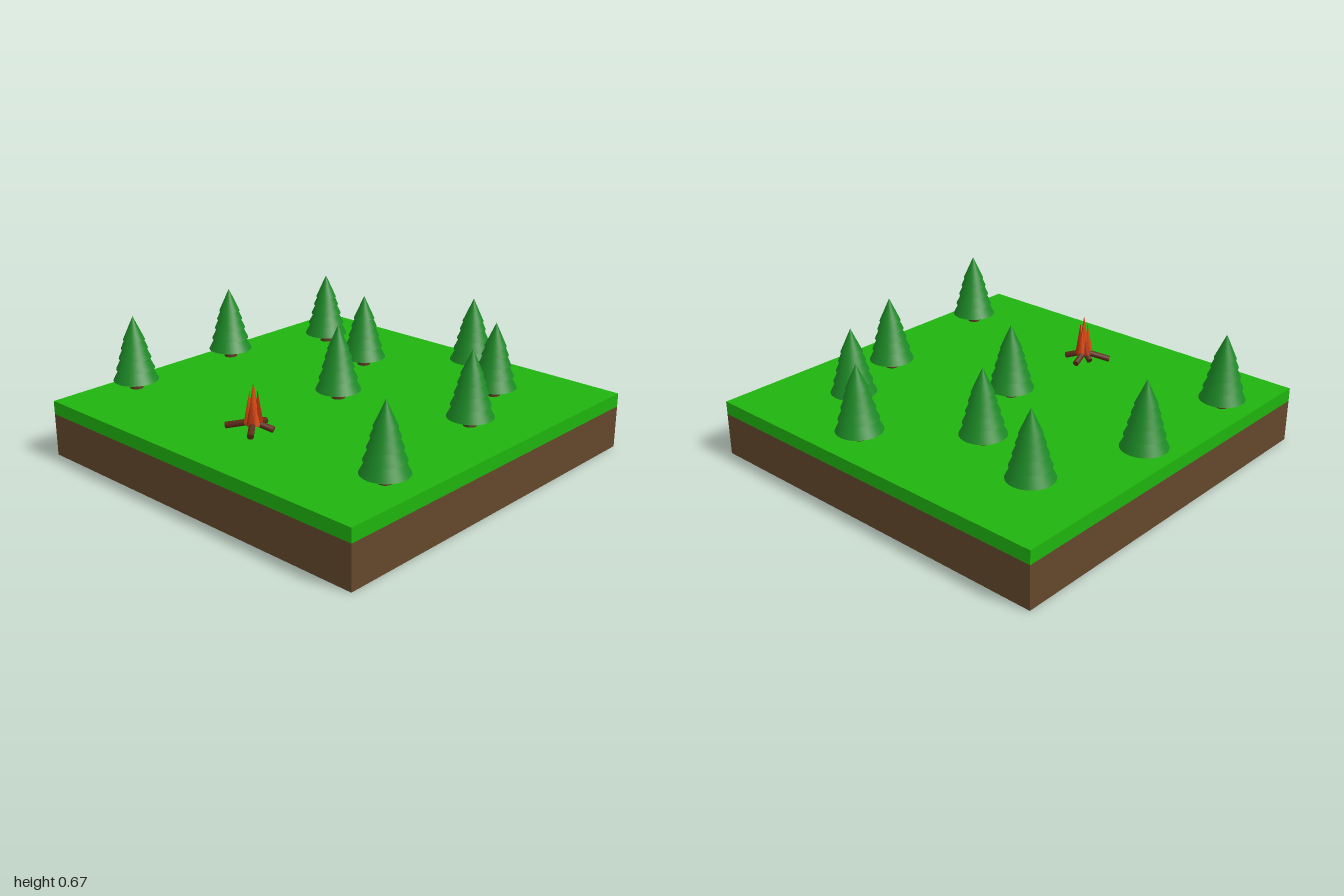
import * as THREE from 'three';

const GROUND = 0.29;
const paint = (color) => new THREE.MeshStandardMaterial({ color });
const soilMat = paint(0x64482c), grassMat = paint(0x20b40f), leafMat = paint(0x1c8a26);
const trunkMat = paint(0x5c3d26), logMat = paint(0x5e2c18), flameMat = paint(0xd84a10), emberMat = paint(0xb0300c);

function add(parent, name, geometry, material, x = 0, y = 0, z = 0) {
  const mesh = new THREE.Mesh(geometry, material);
  mesh.name = name;
  mesh.position.set(x, y, z);
  parent.add(mesh);
  return mesh;
}

// Cylinder or cone running from point a to point b
function rod(parent, name, a, b, r0, r1, material, sides) {
  const from = new THREE.Vector3(...a), to = new THREE.Vector3(...b);
  const dir = to.clone().sub(from);
  const mesh = add(parent, name, new THREE.CylinderGeometry(r1, r0, dir.length(), sides), material);
  mesh.position.copy(from).add(to).multiplyScalar(0.5);
  mesh.quaternion.setFromUnitVectors(new THREE.Vector3(0, 1, 0), dir.normalize());
}

// Tier: base height above the grass, radius, cone height
const TIERS = [
  [0.045, 0.115, 0.22],
  [0.105, 0.098, 0.2],
  [0.162, 0.082, 0.18],
  [0.213, 0.068, 0.155],
  [0.258, 0.055, 0.122],
];

function makeTree(x, z) {
  const tree = new THREE.Group();
  tree.name = 'pineTree';
  tree.position.set(x, GROUND, z);
  add(tree, 'trunk', new THREE.CylinderGeometry(0.034, 0.034, 0.09, 24), trunkMat, 0, 0.045, 0);
  for (const [base, radius, height] of TIERS) {
    add(tree, 'foliageTier', new THREE.ConeGeometry(radius, height, 32), leafMat, 0, base + height / 2, 0);
  }
  return tree;
}

function makeCampfire() {
  const fire = new THREE.Group();
  fire.name = 'campfire';
  fire.position.set(0, GROUND, 0.585);

  // Logs leaning in towards the middle
  const logEnds = [[-0.115, 0.068], [-0.02, -0.1], [0.092, -0.045], [0.075, 0.088], [-0.052, -0.022]];
  for (const [x, z] of logEnds) {
    rod(fire, 'log', [x, 0.015, z], [-x * 0.12, 0.05, -z * 0.12], 0.016, 0.015, logMat, 10);
  }

  // Tall central flame ringed by smaller leaning ones
  rod(fire, 'centralFlame', [0.005, 0.03, 0], [0.01, 0.24, 0], 0.034, 0.001, flameMat, 8);
  for (let i = 0; i < 6; i++) {
    const a = (i / 6) * Math.PI * 2 + 0.3, c = Math.cos(a), s = Math.sin(a);
    const top = 0.13 + 0.035 * (i % 3);
    rod(fire, 'sideFlame', [0.005 + c * 0.027, 0.035, s * 0.027], [0.01 + c * 0.018, top, s * 0.018],
      0.02, 0.001, i % 2 ? emberMat : flameMat, 7);
  }
  return fire;
}

export function createModel() {
  const model = new THREE.Group();
  model.name = 'forestClearing';
  add(model, 'soil', new THREE.BoxGeometry(2, 0.22, 2), soilMat, 0, 0.11, 0);
  add(model, 'grass', new THREE.BoxGeometry(2, 0.07, 2), grassMat, 0, 0.255, 0);

  const spots = [
    [0.215, -0.815], [-0.67, -0.62], [-0.24, -0.46], [0.547, -0.557], [0.703, -0.157],
    [-0.867, -0.065], [0, 0], [-0.852, 0.597], [0.824, 0.597],
  ];
  for (const [x, z] of spots) model.add(makeTree(x, z));
  model.add(makeCampfire());
  return model;
}
